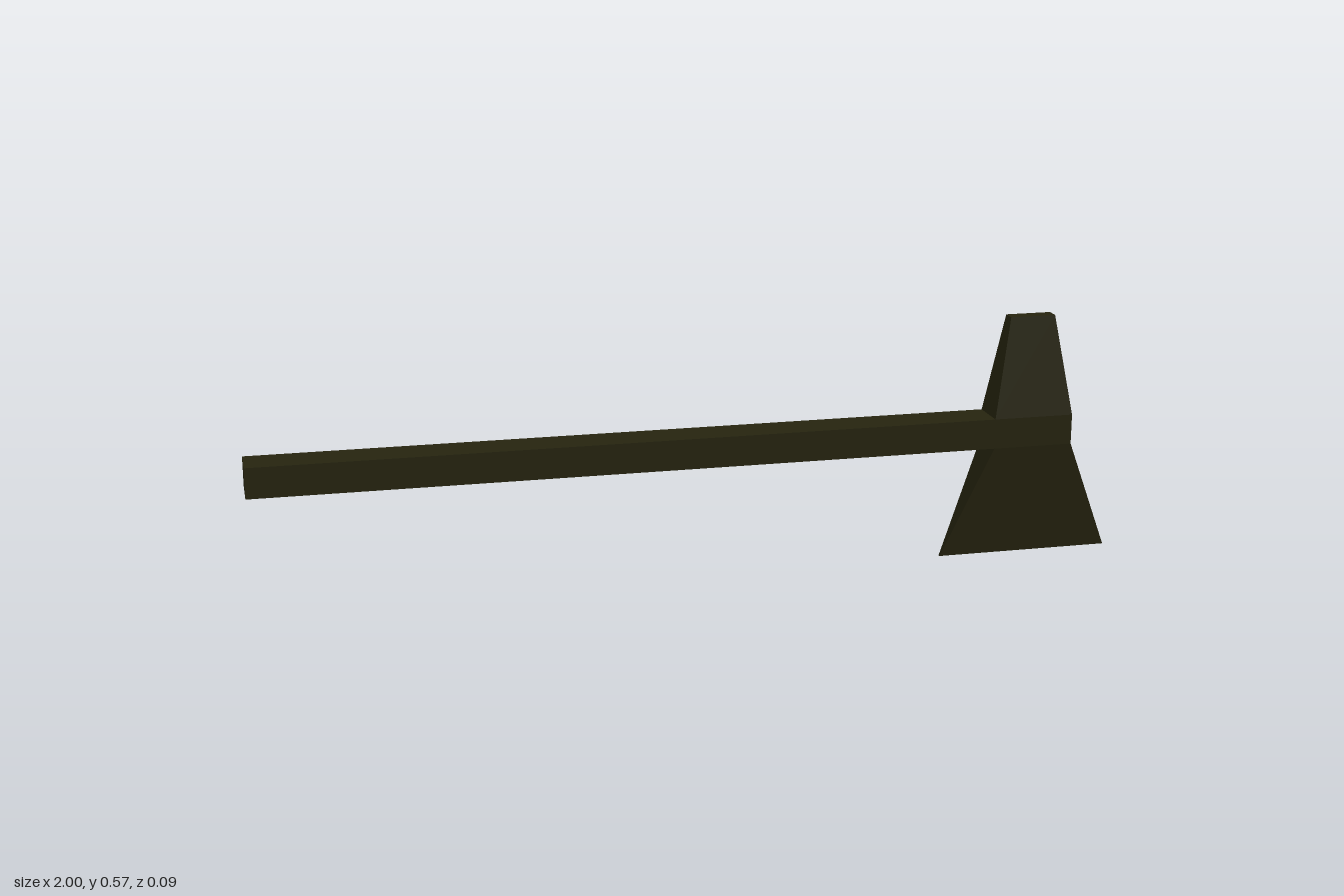
import * as THREE from 'three';

// Faceted solid through rectangular sections, listed from bottom to top: [y, x0, x1, half depth]
function loft(sections) {
  const rings = sections.map(([y, x0, x1, d]) => [[x0, y, d], [x1, y, d], [x1, y, -d], [x0, y, -d]]);
  const positions = [];
  const quad = (a, b, c, d) => positions.push(...a, ...b, ...c, ...a, ...c, ...d);

  for (let i = 0; i < rings.length - 1; i++) {
    for (let k = 0; k < 4; k++) {
      const n = (k + 1) % 4;
      quad(rings[i][k], rings[i][n], rings[i + 1][n], rings[i + 1][k]);
    }
  }
  quad(...rings[rings.length - 1]);
  quad(...[...rings[0]].reverse());

  const geometry = new THREE.BufferGeometry();
  geometry.setAttribute('position', new THREE.Float32BufferAttribute(positions, 3));
  geometry.computeVertexNormals();
  return geometry;
}

export function createModel() {
  const model = new THREE.Group();
  model.name = 'axe';

  const darkOlive = new THREE.MeshStandardMaterial({ color: 0x26240f });
  darkOlive.name = 'darkOlive';

  const low = 0.268, high = 0.338, half = 0.046; // handle height range and half depth

  // Straight square-edged handle
  const handle = new THREE.Mesh(new THREE.BoxGeometry(1.7, high - low, half * 2), darkOlive);
  handle.name = 'handle';
  handle.position.set(-0.15, (low + high) / 2, 0);
  model.add(handle);

  // Head: thin flared blade, thick eye, tapered poll
  const head = new THREE.Mesh(loft([
    [0, 0.59, 1.0, 0.003],
    [low, 0.7, 0.888, half],
    [high, 0.7, 0.888, half],
    [0.57, 0.74, 0.847, 0.016],
  ]), darkOlive);
  head.name = 'axeHead';
  model.add(head);

  return model;
}
